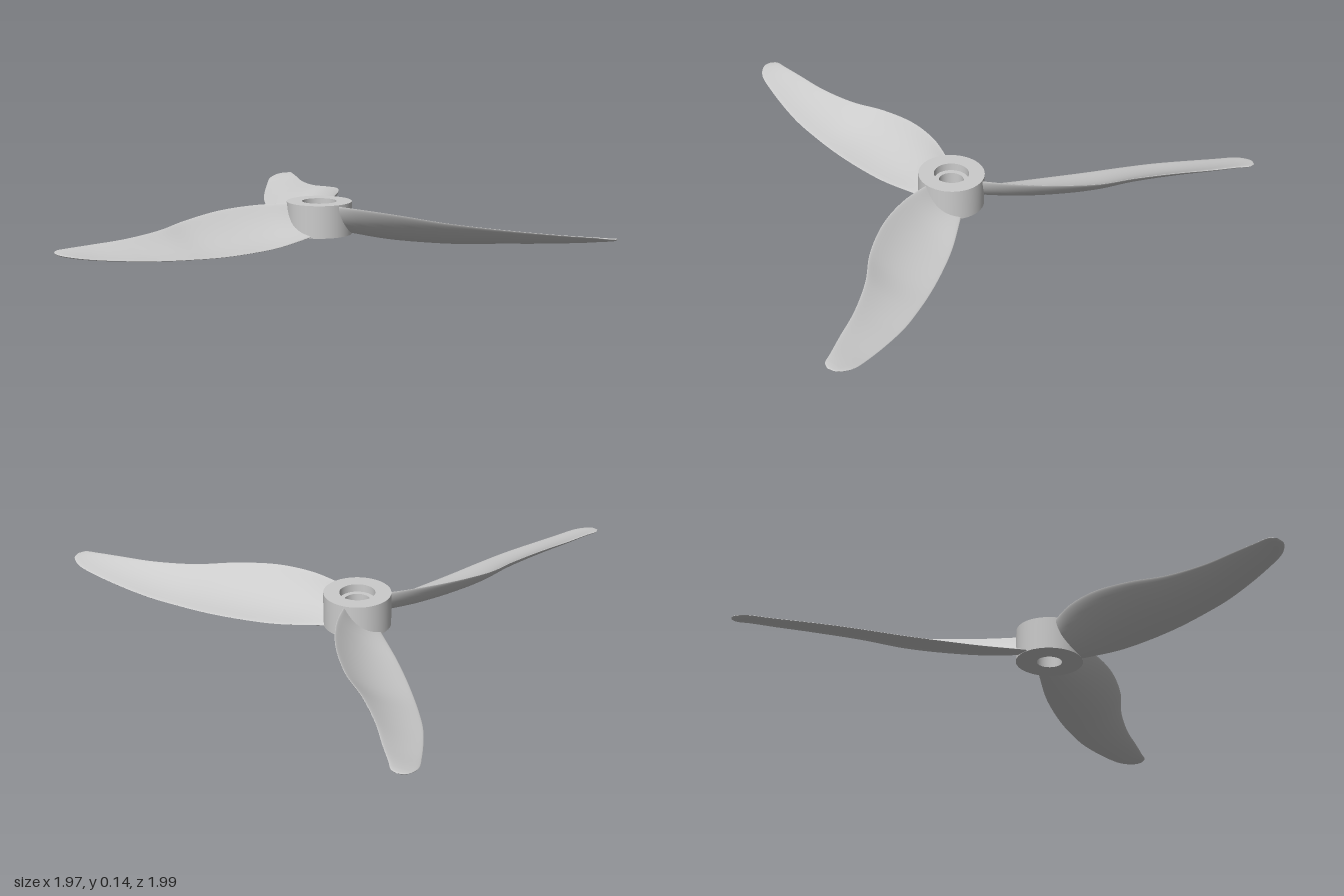
import * as THREE from 'three';

const material = new THREE.MeshStandardMaterial({ color: 0xcccccc, side: THREE.DoubleSide });
const curve = (pts) => new THREE.CatmullRomCurve3(pts.map((p) => new THREE.Vector3(...p)));

// Edges of one blade, measured from the hub axis: [outward, height, sideways]
const leading = curve([
  [0.074, 0.035, -0.095], [0.243, 0.019, -0.169], [0.375, 0.016, -0.215], [0.507, 0.018, -0.254],
  [0.64, 0.026, -0.287], [0.771, 0.036, -0.312], [0.983, 0.058, -0.326], [1.088, 0.074, -0.322],
  [1.137, 0.083, -0.292], [1.145, 0.087, -0.263],
]);
const trailing = curve([
  [0.09, 0.148, 0.034], [0.243, 0.149, 0.048], [0.4, 0.141, 0.032], [0.56, 0.122, -0.021],
  [0.692, 0.106, -0.095], [0.85, 0.096, -0.158], [0.983, 0.093, -0.195], [1.08, 0.092, -0.224],
  [1.128, 0.09, -0.238], [1.144, 0.087, -0.258],
]);

// One skin of the blade: side +1 is the hollow top, -1 the bulging underside
function bladeSkin(side, spanSteps = 72, chordSteps = 20) {
  const positions = [], index = [];
  const outward = new THREE.Vector3(1, 0, 0);
  for (let i = 0; i <= spanSteps; i++) {
    const t = i / spanSteps;
    const a = leading.getPoint(t), b = trailing.getPoint(t);
    const chord = b.clone().sub(a);
    const length = chord.length();
    const normal = chord.clone().cross(outward).normalize();
    const camber = length * THREE.MathUtils.lerp(0.16, 0.03, t);
    const thickness = Math.min(length * 0.08, THREE.MathUtils.lerp(0.012, 0.005, t));
    for (let j = 0; j <= chordSteps; j++) {
      // Cosine spacing rounds the two edges
      const c = (1 - Math.cos((Math.PI * j) / chordSteps)) / 2;
      const offset = -camber * 4 * c * (1 - c) + side * thickness * Math.sin((Math.PI * j) / chordSteps);
      const p = a.clone().addScaledVector(chord, c).addScaledVector(normal, offset);
      positions.push(p.x, p.y, p.z);
      if (i < spanSteps && j < chordSteps) {
        const k = i * (chordSteps + 1) + j, n = k + chordSteps + 1;
        if (side > 0) index.push(k, k + 1, n, k + 1, n + 1, n);
        else index.push(k, n, k + 1, k + 1, n, n + 1);
      }
    }
  }
  const geometry = new THREE.BufferGeometry();
  geometry.setAttribute('position', new THREE.Float32BufferAttribute(positions, 3));
  geometry.setIndex(index);
  geometry.computeVertexNormals();
  return geometry;
}

// Hub ring with a stepped bore; every profile edge is its own lathe so corners stay sharp
function createHub() {
  const hub = new THREE.Group();
  hub.name = 'hub';
  const profile = [
    [0.047, 0.03], [0.125, 0.03], [0.125, 0.155], [0.066, 0.155],
    [0.066, 0.125], [0.047, 0.125], [0.047, 0.03],
  ].map((p) => new THREE.Vector2(...p));
  const names = ['hubBase', 'hubWall', 'hubRim', 'counterbore', 'boreStep', 'bore'];
  names.forEach((name, i) => {
    const ring = new THREE.Mesh(new THREE.LatheGeometry([profile[i], profile[i + 1]], 64), material);
    ring.name = name;
    hub.add(ring);
  });
  return hub;
}

export function createModel() {
  const propeller = new THREE.Group();
  propeller.name = 'propeller';
  propeller.add(createHub());

  // Three swept blades around the hub
  const top = bladeSkin(1), underside = bladeSkin(-1);
  for (let i = 0; i < 3; i++) {
    const blade = new THREE.Group();
    blade.name = `blade${i + 1}`;
    const upper = new THREE.Mesh(top, material);
    upper.name = 'bladeTop';
    const lower = new THREE.Mesh(underside, material);
    lower.name = 'bladeUnderside';
    blade.add(upper, lower);
    blade.rotation.y = (-i * Math.PI * 2) / 3;
    propeller.add(blade);
  }

  propeller.position.set(-0.16, 0, -0.135);
  const model = new THREE.Group();
  model.name = 'model';
  model.add(propeller);
  return model;
}
